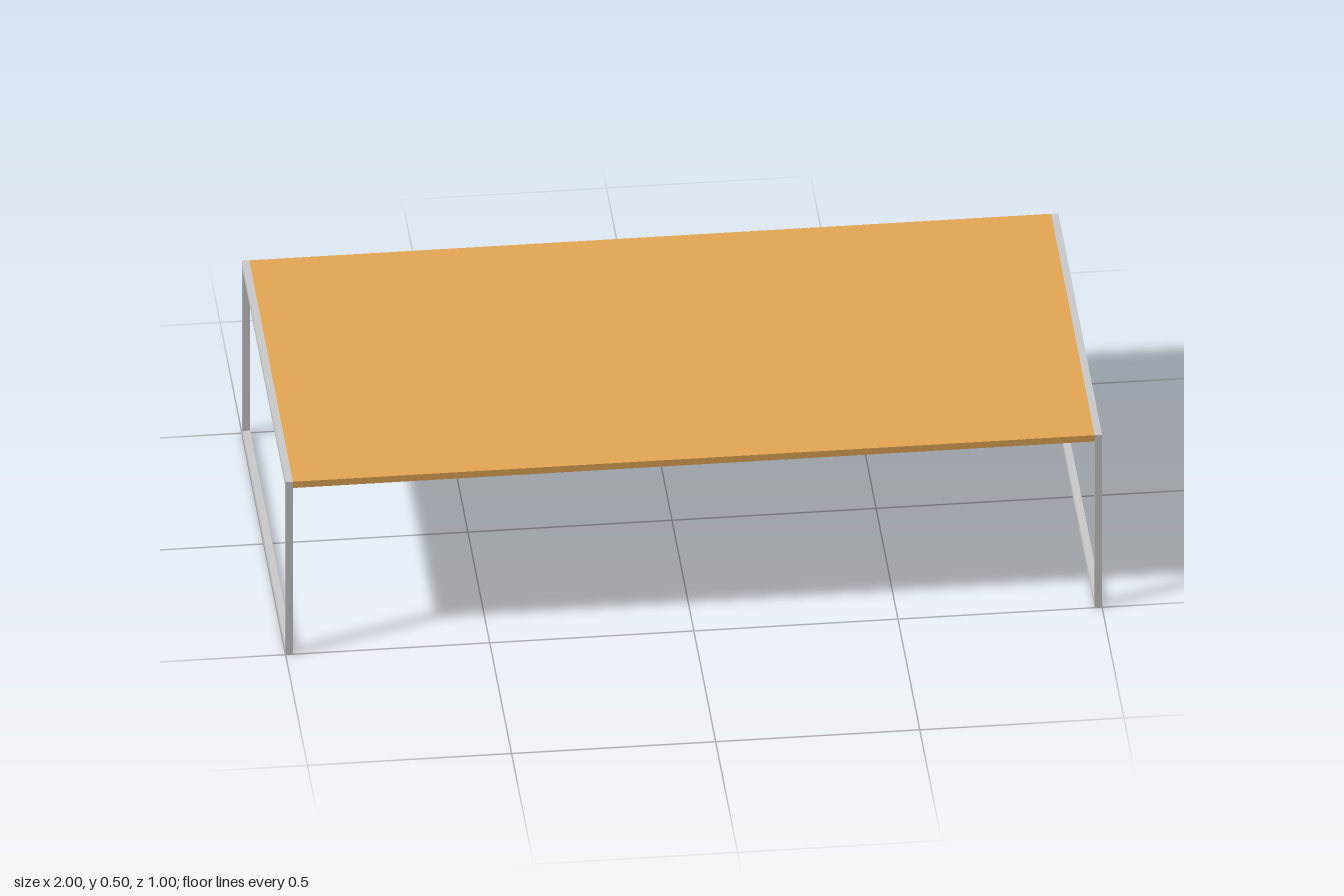
import * as THREE from 'three';

const LENGTH = 2, DEPTH = 1, HEIGHT = 0.5, BAR = 0.018;

// Rectangular outline centred on x, standing between y0 and y1
function rectangle(path, halfWidth, y0, y1) {
  path.moveTo(-halfWidth, y0);
  path.lineTo(halfWidth, y0);
  path.lineTo(halfWidth, y1);
  path.lineTo(-halfWidth, y1);
  path.closePath();
  return path;
}

export function createModel() {
  const group = new THREE.Group();
  group.name = 'lowTable';
  const metal = new THREE.MeshStandardMaterial({ color: 0xcccccc });
  const wood = new THREE.MeshStandardMaterial({ color: 0xe6a856 });

  // Thin wooden top held between the two end frames
  const top = new THREE.Mesh(new THREE.BoxGeometry(LENGTH - 2 * BAR, BAR, DEPTH), wood);
  top.name = 'tableTop';
  top.position.y = HEIGHT - BAR / 2;
  group.add(top);

  // Closed square-bar frame, extruded along x
  const outline = rectangle(new THREE.Shape(), DEPTH / 2, 0, HEIGHT);
  outline.holes.push(rectangle(new THREE.Path(), DEPTH / 2 - BAR, BAR, HEIGHT - BAR));
  const frame = new THREE.ExtrudeGeometry(outline, { depth: BAR, bevelEnabled: false });
  frame.translate(0, 0, -BAR / 2);
  frame.rotateY(Math.PI / 2);

  for (const [name, side] of [['leftLegFrame', 1], ['rightLegFrame', -1]]) {
    const leg = new THREE.Mesh(frame, metal);
    leg.name = name;
    leg.position.x = side * (LENGTH - BAR) / 2;
    group.add(leg);
  }
  return group;
}
